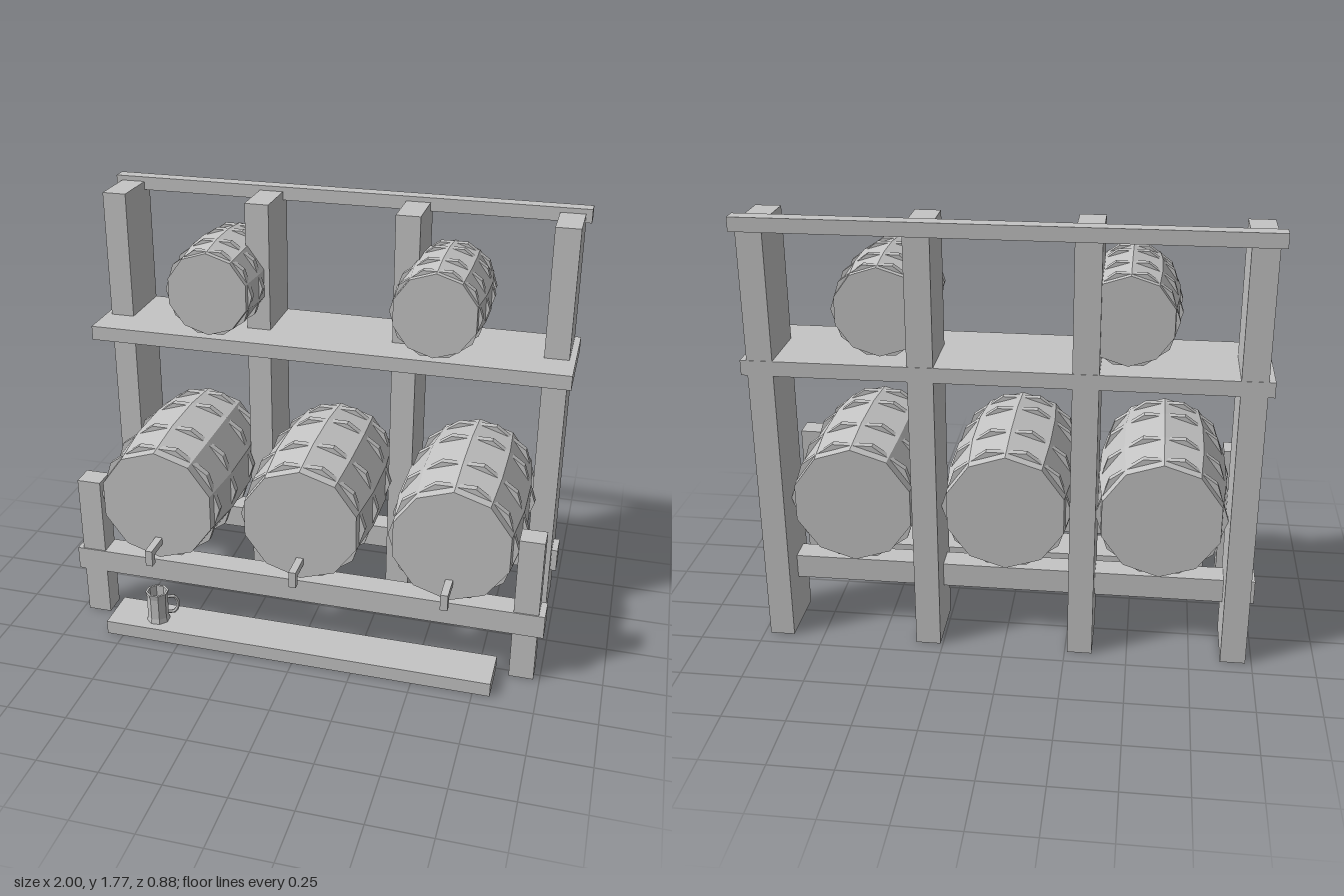
import * as THREE from 'three';

const grey = new THREE.MeshStandardMaterial({ color: 0xc4c4c4, flatShading: true });
grey.name = 'plain grey';

export function createModel() {
  const model = new THREE.Group();
  model.name = 'barrelRack';

  const add = (name, geometry, parent = model) => {
    const mesh = new THREE.Mesh(geometry, grey);
    mesh.name = name;
    parent.add(mesh);
    return mesh;
  };
  // Box given by its limits on each axis
  const box = (name, [x0, x1], [y0, y1], [z0, z1], parent) => {
    const mesh = add(name, new THREE.BoxGeometry(x1 - x0, y1 - y0, z1 - z0), parent);
    mesh.position.set((x0 + x1) / 2, (y0 + y1) / 2, (z0 + z1) / 2);
    return mesh;
  };
  const lathe = (points, sides) =>
    new THREE.LatheGeometry(points.map(([r, y]) => new THREE.Vector2(r, y)), sides);

  // Rack frame
  for (const x of [-0.925, -0.31, 0.31, 0.925])
    box('tallPost', [x - 0.05, x + 0.05], [0, 1.75], [-0.435, -0.175]);
  for (const x of [-0.925, 0.925])
    box('shortPost', [x - 0.05, x + 0.05], [0, 0.64], [0.19, 0.285]);
  box('topRail', [-1, 1], [1.715, 1.77], [-0.44, -0.38]);
  box('shelf', [-1, 1], [1.155, 1.215], [-0.437, -0.02]);
  box('frontBeam', [-1, 1], [0.21, 0.31], [0.185, 0.29]);
  box('backBeam', [-1, 1], [0.21, 0.31], [-0.322, -0.222]);
  box('bottomPlank', [-0.82, 0.82], [0, 0.06], [0.25, 0.44]);

  // Ten-sided barrel lying along z; hoops are turned half a facet
  const barrel = (name, x, y, z, radius, length) => {
    const group = new THREE.Group();
    group.name = name;
    group.position.set(x, y, z);
    model.add(group);
    const h = length / 2;
    const body = lathe([[0, -h], [0.89 * radius, -h], [0.975 * radius, -0.35 * h],
      [0.975 * radius, 0.35 * h], [0.89 * radius, h], [0, h]], 10);
    add('barrelBody', body.rotateX(Math.PI / 2), group);
    for (const [at, r] of [[-0.84, 0.945], [-0.35, 1], [0.35, 1], [0.84, 0.945]]) {
      const R = r * radius, w = 0.015, inner = 0.85 * radius;
      const hoop = lathe([[inner, -w], [R, -w], [R, w], [inner, w]], 10);
      hoop.rotateY(Math.PI / 10).rotateX(Math.PI / 2).translate(0, 0, at * h);
      add('hoop', hoop, group);
    }
  };

  for (const x of [-0.615, 0, 0.615]) {
    barrel('largeBarrel', x, 0.58, -0.03, 0.276, 0.67);
    // Tap: level pipe with a downward spout
    const tap = new THREE.Group();
    tap.name = 'tap';
    model.add(tap);
    box('tapPipe', [x - 0.015, x + 0.015], [0.4, 0.43], [0.295, 0.42], tap);
    box('tapSpout', [x - 0.015, x + 0.015], [0.36, 0.4], [0.39, 0.42], tap);
  }
  for (const x of [-0.463, 0.463])
    barrel('smallBarrel', x, 1.42, -0.2, 0.194, 0.44);

  // Hollow mug with a looped handle
  const mug = new THREE.Group();
  mug.name = 'mug';
  mug.position.set(-0.615, 0.06, 0.36);
  mug.rotation.y = 0.45;
  model.add(mug);
  add('mugCup', lathe([[0, 0], [0.049, 0], [0.044, 0.02], [0.044, 0.115], [0.049, 0.14],
    [0.04, 0.14], [0.037, 0.02], [0, 0.02]], 8), mug);
  const handle = new THREE.CatmullRomCurve3([[0.04, 0.105], [0.07, 0.105], [0.083, 0.085],
    [0.083, 0.05], [0.07, 0.03], [0.04, 0.03]].map(([x, y]) => new THREE.Vector3(x, y, 0)));
  add('mugHandle', new THREE.TubeGeometry(handle, 10, 0.008, 5), mug);

  return model;
}
